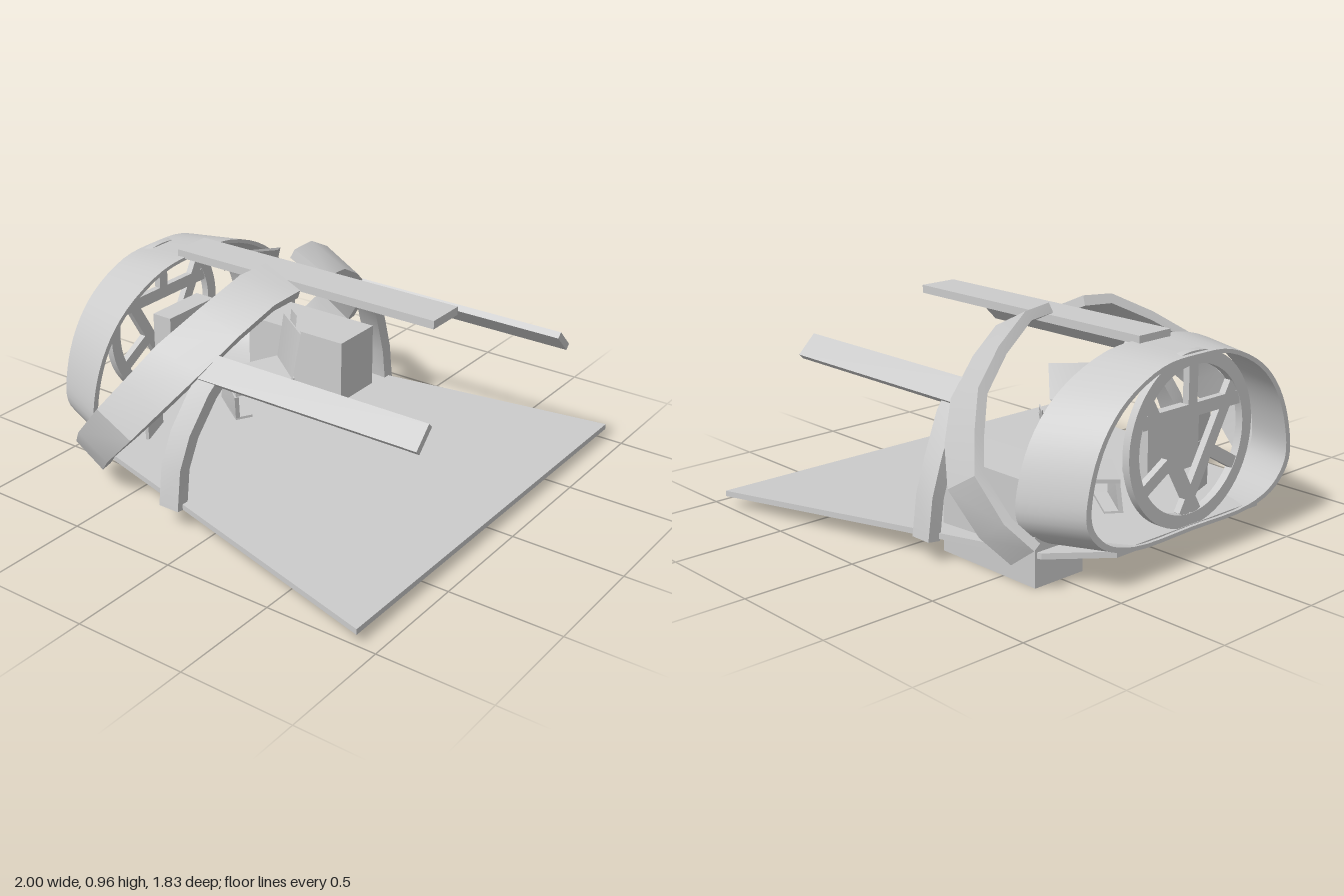
import * as THREE from 'three';
import { toCreasedNormals } from 'three/addons/utils/BufferGeometryUtils.js';

const material = new THREE.MeshStandardMaterial({ color: 0xcccccc, side: THREE.DoubleSide });
const V = (p) => new THREE.Vector3(...p);

// Solid through a row of four-cornered sections; winding is set by signed volume.
function loft(sections, closed = false) {
  const pos = [];
  const quad = (a, b, c, d) => [a, b, c, a, c, d].forEach((p) => pos.push(p.x, p.y, p.z));
  const n = sections.length;
  for (let i = 0; i < (closed ? n : n - 1); i++) {
    const s = sections[i], t = sections[(i + 1) % n];
    for (let k = 0; k < 4; k++) quad(s[k], s[(k + 1) % 4], t[(k + 1) % 4], t[k]);
  }
  if (!closed) {
    quad(...[...sections[0]].reverse());
    quad(...sections[n - 1]);
  }
  let volume = 0;
  for (let i = 0; i < pos.length; i += 9) {
    const [a, b, c] = [0, 3, 6].map((k) => V(pos.slice(i + k, i + k + 3)));
    volume += a.dot(b.cross(c));
  }
  if (volume < 0) {
    for (let i = 0; i < pos.length; i += 9) {
      for (let k = 0; k < 3; k++) [pos[i + 3 + k], pos[i + 6 + k]] = [pos[i + 6 + k], pos[i + 3 + k]];
    }
  }
  const g = new THREE.BufferGeometry();
  g.setAttribute('position', new THREE.Float32BufferAttribute(pos, 3));
  return toCreasedNormals(g, 0.45);
}

// Curved strap: front and rear edge of the outer face, thickened inward.
function strap(front, rear, thickness, side) {
  const core = new THREE.Vector3(0, 0.3, -0.4);
  const place = (p) => new THREE.Vector3(p[0] * side, p[1], p[2]);
  const F = front.map(place), R = rear.map(place);
  return loft(F.map((f, i) => {
    const tangent = F[Math.min(i + 1, F.length - 1)].clone().sub(F[Math.max(i - 1, 0)]);
    const inward = tangent.cross(R[i].clone().sub(f)).normalize().multiplyScalar(thickness);
    if (inward.dot(core.clone().sub(f)) < 0) inward.negate();
    return [f, R[i], R[i].clone().add(inward), f.clone().add(inward)];
  }));
}

// Flat plate from four corners and a thickness vector.
function plate(corners, offset) {
  const c = corners.map(V);
  return loft([c, c.map((p) => p.clone().add(V(offset)))]);
}

export function createModel() {
  const model = new THREE.Group();
  const add = (name, geometry, parent = model) => {
    const mesh = new THREE.Mesh(geometry, material);
    mesh.name = name;
    parent.add(mesh);
    return mesh;
  };
  const box = (name, size, at, rot = [0, 0, 0], parent = model) => {
    const mesh = add(name, new THREE.BoxGeometry(...size), parent);
    mesh.position.set(...at);
    mesh.rotation.set(...rot);
    return mesh;
  };

  // Floor: tapering slab that rises toward the back
  const floorRow = (x, z) => {
    const y = 0.05 + (0.915 - z) * 0.0455;
    return [[x, y], [-x, y], [-x, y + 0.025], [x, y + 0.025]].map(([a, b]) => V([a, b, z]));
  };
  add('floor', loft([floorRow(1, 0.915), floorRow(0.625, -0.7), floorRow(0.42, -0.9)]));

  // Rear hoop, flaring toward the front
  const half = [[0.36, 0.145], [0.52, 0.2], [0.6, 0.3], [0.59, 0.45], [0.52, 0.62], [0.4, 0.75], [0.2, 0.845]];
  const outline = [[0, 0.14], ...half, [0, 0.86], ...half.map(([x, y]) => [-x, y]).reverse()];
  const hoop = new THREE.CatmullRomCurve3(outline.map(([x, y]) => V([x, y, 0])), true);
  const hoopSections = [];
  for (let i = 0; i < 64; i++) {
    const p = hoop.getPoint(i / 64);
    const at = (sx, sy, z, k) => V([p.x * sx * k, 0.5 + (p.y - 0.5) * sy * k, z]);
    hoopSections.push([
      at(1.18, 1.05, -0.65, 1), at(1, 1, -0.917, 1), at(1, 1, -0.917, 0.955), at(1.18, 1.05, -0.65, 0.96),
    ]);
  }
  add('rearHoop', loft(hoopSections, true));

  // Round window frame with triangle struts and three spokes
  const frame = new THREE.Group();
  frame.name = 'windowFrame';
  frame.position.set(0, 0.51, -0.88);
  model.add(frame);
  const ring = new THREE.Shape().absarc(0, 0, 0.36, 0, Math.PI * 2);
  ring.holes.push(new THREE.Path().absarc(0, 0, 0.305, 0, Math.PI * 2, true));
  const ringGeometry = new THREE.ExtrudeGeometry(ring, { depth: 0.035, bevelEnabled: false, curveSegments: 40 });
  add('windowRing', toCreasedNormals(ringGeometry.translate(0, 0, -0.0175), 0.5), frame);
  for (let i = 0; i < 3; i++) {
    const arm = new THREE.Group();
    arm.name = 'windowStruts';
    arm.rotation.z = (i * Math.PI * 2) / 3;
    frame.add(arm);
    box('triangleStrut', [0.57, 0.055, 0.03], [0, 0.12, 0], [0, 0, 0], arm);
    box('spoke', [0.052, 0.19, 0.03], [0, 0.225, 0], [0, 0, 0], arm);
  }

  // Paired parts: large curved arms, small curved arms, side beams
  const armFront = [[0.1, 0.88, -0.01], [0.25, 0.86, -0.03], [0.42, 0.77, -0.08], [0.6, 0.64, -0.15],
    [0.72, 0.5, -0.25], [0.8, 0.36, -0.36], [0.78, 0.2, -0.52], [0.71, 0.1, -0.62]];
  const armRear = [[0.1, 0.96, -0.19], [0.25, 0.95, -0.21], [0.45, 0.85, -0.27], [0.63, 0.73, -0.35],
    [0.73, 0.59, -0.44], [0.81, 0.46, -0.53], [0.79, 0.3, -0.67], [0.72, 0.2, -0.76]];
  const braceFront = [[0.52, 0.69, -0.06], [0.62, 0.58, -0.085], [0.71, 0.42, -0.115], [0.765, 0.28, -0.125], [0.79, 0.1, -0.125]];
  const braceRear = braceFront.map(([x, y, z]) => [x, y, z - 0.1]);
  for (const [side, label] of [[1, 'left'], [-1, 'right']]) {
    add(label + 'CurvedArm', strap(armFront, armRear, 0.045, side));
    add(label + 'LowerBrace', strap(braceFront, braceRear, 0.06, side));
    box(label + 'SideBeam', [0.03, 0.118, 1.06], [0.545 * side, 0.655, 0.365], [0, 0, side * Math.PI / 4]);
  }

  // Long roof beam and storage box
  box('roofBeam', [0.18, 0.036, 1.33], [0, 0.888, -0.025]);
  box('storageBox', [0.255, 0.42, 0.54], [0.512, 0.212, -0.41]);

  // Control cabinet with panel below, and cables to the console
  box('cabinet', [0.2, 0.16, 0.07], [-0.37, 0.43, -0.59], [0, 0.35, 0]);
  box('cabinetPanel', [0.17, 0.23, 0.015], [-0.375, 0.25, -0.62], [0, 0.35, 0.05]);
  box('console', [0.3, 0.24, 0.1], [0, 0.47, -0.75]);
  box('consoleShelf', [0.25, 0.02, 0.08], [0, 0.36, -0.68], [0.2, 0, 0]);
  for (let i = 0; i < 4; i++) {
    const y = 0.405 + i * 0.02;
    const path = new THREE.CatmullRomCurve3([[-0.32, y, -0.61], [-0.22, y, -0.65], [-0.12, y, -0.72]].map(V));
    add('cable', new THREE.TubeGeometry(path, 8, 0.005, 6));
  }

  // Slanted overhead screen
  add('screen', plate([[0.19, 0.8, -0.66], [0.38, 0.8, -0.5], [0.44, 0.68, -0.57], [0.27, 0.68, -0.73]], [0.01, 0.012, 0.01]));

  // Turned seat: cushion, leg rest, foot plate, backrest and headrest
  const seat = new THREE.Group();
  seat.name = 'seat';
  model.add(seat);
  add('cushion', plate([[0.08, 0.27, -0.59], [0.31, 0.29, -0.45], [0.16, 0.29, -0.24], [-0.09, 0.27, -0.38]], [0, 0.018, 0]), seat);
  add('legRest', plate([[0.08, 0.27, -0.59], [-0.1, 0.27, -0.38], [-0.07, 0.15, -0.4], [0.07, 0.15, -0.6]], [0.015, 0, 0.012]), seat);
  add('footPlate', plate([[-0.07, 0.14, -0.4], [0.07, 0.14, -0.6], [0.13, 0.14, -0.55], [0, 0.14, -0.36]], [0, 0.012, 0]), seat);
  add('backrest', plate([[0.30, 0.29, -0.45], [0.14, 0.29, -0.24], [0.18, 0.52, -0.22], [0.33, 0.52, -0.43]], [0.018, 0, -0.012]), seat);
  add('headrest', plate([[0.285, 0.5, -0.36], [0.235, 0.5, -0.29], [0.24, 0.575, -0.285], [0.29, 0.575, -0.355]], [0.02, 0, -0.014]), seat);
  return model;
}
